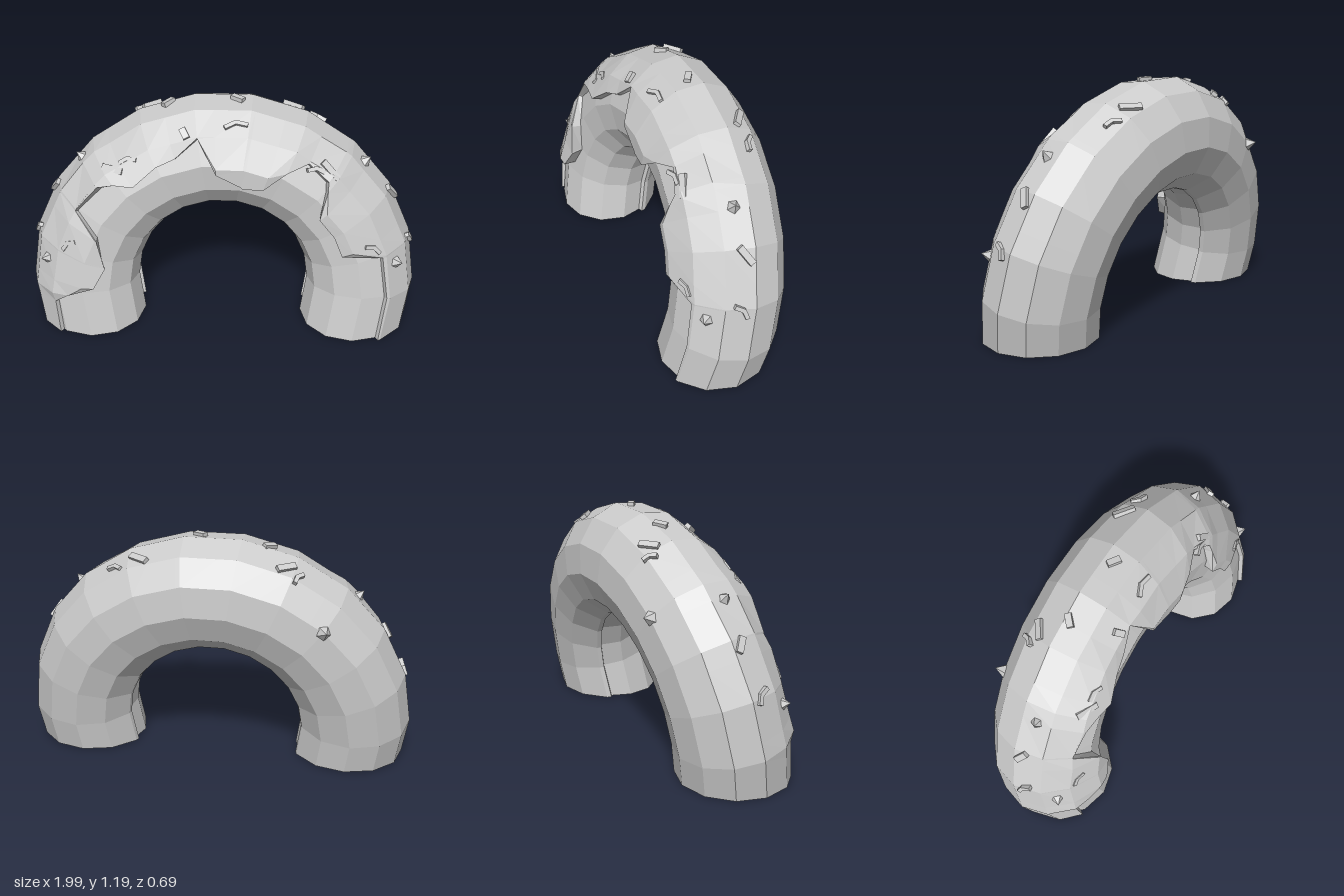
import * as THREE from 'three';

// Half ring, leaning back: ring radius, dough and glaze tube radii, lean angle
const R = 0.705, DOUGH = 0.265, GLAZE = 0.29, LEAN = 0.175;
const RINGS = 11, SIDES = 12, DEG = Math.PI / 180;
const C = Math.cos(LEAN), S = Math.sin(LEAN);
const grey = () => new THREE.MeshStandardMaterial({ color: 0xcccccc, flatShading: true, side: THREE.DoubleSide });

// Corner of the faceted tube; rows -1 and RINGS + 1 are the feet on the floor
function corner(k, j, r) {
  const t = THREE.MathUtils.clamp(k, 0, RINGS) * Math.PI / RINGS;
  const a = j * 2 * Math.PI / SIDES;
  const rho = R + r * Math.cos(a), z = 0.95 * r * Math.sin(a);
  const p = new THREE.Vector3(rho * Math.cos(t), 0.2 + rho * Math.sin(t) * C + z * S, 0.057 - rho * Math.sin(t) * S + z * C);
  if (k < 0 || k > RINGS) {
    p.x -= Math.sign(p.x) * 0.144 * p.y;
    p.z += 0.176 * p.y;
    p.y = 0;
  }
  return p;
}

// Any point on the facets: u counts rings, phi is degrees round the tube (0 outer, 90 front)
function onTube(u, phi, r) {
  const k = Math.min(Math.floor(u), RINGS), v = phi * SIDES / 360, j = Math.floor(v);
  const low = corner(k, j, r).lerp(corner(k, j + 1, r), v - j);
  if (u === k) return low;
  return low.lerp(corner(k + 1, j, r).lerp(corner(k + 1, j + 1, r), v - j), u - k);
}

// Surface through a grid of points, leaving out collapsed triangles
function skin(grid) {
  const pos = [], tri = new THREE.Triangle();
  const add = (a, b, c) => {
    if (tri.set(a, b, c).getArea() > 1e-7) for (const p of [a, b, c]) pos.push(p.x, p.y, p.z);
  };
  for (let i = 0; i < grid.length - 1; i++) {
    for (let j = 0; j < grid[i].length - 1; j++) {
      const a = grid[i][j], b = grid[i + 1][j], c = grid[i + 1][j + 1], d = grid[i][j + 1];
      add(a, b, c);
      add(a, c, d);
    }
  }
  const g = new THREE.BufferGeometry();
  g.setAttribute('position', new THREE.Float32BufferAttribute(pos, 3));
  g.computeVertexNormals();
  return g;
}

// Dripping front edge of the glaze, right foot to left foot: x, y, extra thickness
const EDGE = [
  [0.81, 0, 0], [0.83, 0.2, 0], [0.8, 0.47, 0], [0.6, 0.49, 0.02], [0.48, 0.69, 0.03],
  [0.51, 0.87, 0.02], [0.42, 0.96, 0], [0.2, 0.84, 0.03], [0.1, 0.84, 0.03], [-0.03, 0.91, 0.02],
  [-0.12, 1.07, 0], [-0.23, 0.98, 0], [-0.43, 0.84, 0.03], [-0.6, 0.82, 0.03], [-0.72, 0.69, 0],
  [-0.62, 0.56, 0.03], [-0.59, 0.41, 0.05], [-0.65, 0.3, 0.05], [-0.85, 0.19, 0], [-0.84, 0, 0],
].map(([x, y, lift]) => {
  const h = (y - 0.245) / C;
  let u = Math.atan2(h, x) * RINGS / Math.PI, rho = Math.hypot(x, h);
  if (h < 0) {
    const drop = Math.min(1, -h / 0.24);
    u = x > 0 ? -drop : RINGS + drop;
    rho = Math.abs(x) + 0.03 * drop;
  }
  return { u, phi: Math.acos((rho - R) / GLAZE) / DEG, lift };
});

function edgeAt(u) {
  const i = Math.max(1, EDGE.findIndex((e) => e.u >= u - 1e-9));
  const a = EDGE[i - 1], b = EDGE[i], t = (u - a.u) / (b.u - a.u);
  return { phi: THREE.MathUtils.lerp(a.phi, b.phi, t), lift: THREE.MathUtils.lerp(a.lift, b.lift, t) };
}

function makeDough() {
  const grid = [];
  for (let k = -1; k <= RINGS + 1; k++) {
    grid.push(Array.from({ length: SIDES + 1 }, (_, j) => corner(k, j, DOUGH)));
  }
  return skin(grid);
}

function makeGlaze() {
  const group = new THREE.Group();
  const start = -155, columns = [start];
  for (let p = -150; p <= 150; p += 30) columns.push(p);
  const rows = EDGE.map((e) => e.u);
  for (let k = 0; k <= RINGS; k++) rows.push(k);
  rows.sort((a, b) => a - b);

  // Outer coat, with its thickness at both long edges
  const grid = rows.map((u) => {
    const { phi: end, lift } = edgeAt(u);
    const coat = columns.map((c) => {
      const phi = Math.min(c, end);
      return onTube(u, phi, GLAZE + lift * THREE.MathUtils.clamp((phi - end + 50) / 50, 0, 1));
    });
    return [onTube(u, start, DOUGH), ...coat, onTube(u, end, DOUGH)];
  });
  const coat = new THREE.Mesh(skin(grid), grey());
  coat.name = 'glazeCoat';
  group.add(coat);

  // Rims under the two feet
  for (const u of [-1, RINGS + 1]) {
    const end = edgeAt(u).phi;
    const rim = [DOUGH, GLAZE].map((r) => columns.map((c) => onTube(u, Math.min(c, end), r)));
    if (u < 0) rim.reverse();
    const mesh = new THREE.Mesh(skin(rim), grey());
    mesh.name = 'glazeRim';
    group.add(mesh);
  }
  return group;
}

// Sprinkles: kind, degrees along the arch, degrees round the tube, spin
const SPRINKLES = [
  ['bar', 128, 58, 0], ['chip', 122, 58, 20], ['bar', 102, 53, -55, 0.5], ['chip', 86, 46, 5, 1.3],
  ['chip', 57, 64, -15], ['bar', 53, 57, -60], ['gem', 44, 15, 0], ['chip', 21, 70, -30],
  ['gem', 12, 47, 0], ['chip', 16, 14, -50], ['bar', 31, 10, -60, 0.9], ['gem', 169, 45, 0],
  ['chip', 160, 68, 40], ['gem', 136, 15, 0], ['chip', 163, 12, 50], ['bar', 149, 8, 60, 0.7],
  ['gem', 131, -60, 0], ['bar', 112, -20, 0, 0.9], ['chip', 116, -27, 30, 0.8], ['bar', 69, -20, 0],
  ['chip', 61, -20, 20], ['bar', 106, 5, -30, 0.6], ['bar', 86, 10, 50, 0.6],
];

function makeSprinkle(kind, scale = 1) {
  const group = new THREE.Group();
  if (kind === 'gem') {
    const geo = new THREE.ConeGeometry(0.036, 0.05, 5).rotateX(Math.PI / 2).translate(0, 0, 0.015);
    group.add(new THREE.Mesh(geo, grey()));
  } else if (kind === 'bar') {
    group.add(new THREE.Mesh(new THREE.BoxGeometry(0.11 * scale, 0.032, 0.028), grey()));
  } else {
    for (const side of [-1, 1]) {
      const arm = new THREE.Mesh(new THREE.BoxGeometry(0.05 * scale, 0.02, 0.026), grey());
      arm.position.x = side * 0.02 * scale;
      arm.rotation.z = -side * 0.35;
      group.add(arm);
    }
  }
  group.name = kind + 'Sprinkle';
  return group;
}

export function createModel() {
  const model = new THREE.Group();
  model.name = 'glazedHalfRing';

  const dough = new THREE.Mesh(makeDough(), grey());
  dough.name = 'dough';
  const glaze = makeGlaze();
  glaze.name = 'glaze';
  model.add(dough, glaze);

  const sprinkles = new THREE.Group();
  sprinkles.name = 'sprinkles';
  for (const [kind, theta, phi, spin, scale] of SPRINKLES) {
    const u = theta * RINGS / 180;
    const piece = makeSprinkle(kind, scale);
    piece.position.copy(onTube(u, phi, GLAZE + 0.004));
    piece.lookAt(onTube(u, phi, GLAZE + 0.3));
    piece.rotateZ(spin * DEG);
    sprinkles.add(piece);
  }
  model.add(sprinkles);
  return model;
}
